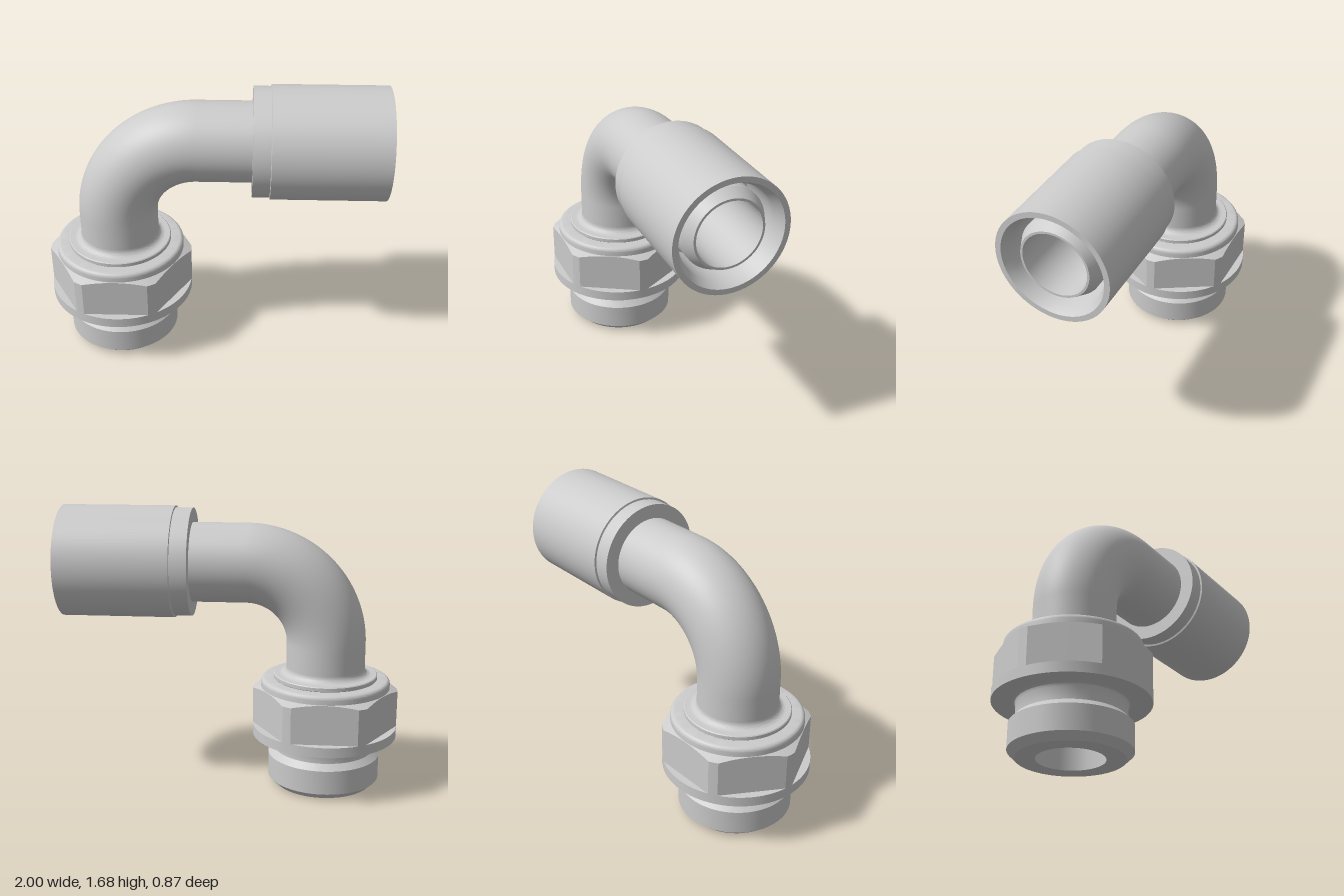
import * as THREE from 'three';
import { toCreasedNormals } from 'three/addons/utils/BufferGeometryUtils.js';

const AXIS_X = -0.565, AXIS_Y = 1.35; // vertical and horizontal axes of the elbow
const BEND = 0.475, BORE = 0.187, PIPE = 0.235;

const material = new THREE.MeshStandardMaterial({ color: 0xcccccc, side: THREE.DoubleSide });

function part(name, geometry) {
  const mesh = new THREE.Mesh(geometry, material);
  mesh.name = name;
  return mesh;
}

// Turned part from [radius, height] pairs
function turned(name, profile) {
  const points = profile.map(([r, h]) => new THREE.Vector2(r, h));
  return part(name, toCreasedNormals(new THREE.LatheGeometry(points, 96), 0.45));
}

// Straight up, quarter bend, straight along +x
class ElbowCurve extends THREE.Curve {
  constructor(yStart, xEnd) {
    super();
    this.yStart = yStart;
    this.rise = AXIS_Y - BEND - yStart;
    this.arc = BEND * Math.PI / 2;
    this.run = xEnd - AXIS_X - BEND;
  }
  getPoint(t, target = new THREE.Vector3()) {
    const s = t * (this.rise + this.arc + this.run);
    if (s < this.rise) return target.set(AXIS_X, this.yStart + s, 0);
    const a = Math.min((s - this.rise) / BEND, Math.PI / 2);
    const extra = Math.max(0, s - this.rise - this.arc);
    return target.set(
      AXIS_X + BEND * (1 - Math.cos(a)) + extra,
      AXIS_Y - BEND + BEND * Math.sin(a), 0);
  }
}

// Hexagon clipped by a cylinder, with a conical chamfer on its top corners
function hexNut() {
  const apothem = 0.39, corner = 0.435, steps = 12;
  const clip = Math.acos(apothem / corner);
  const columns = [];
  for (let side = 0; side < 6; side++) {
    const mid = Math.PI / 2 + side * Math.PI / 3;
    for (let i = 0; i <= steps; i++) {
      const a = -clip + 2 * clip * i / steps;
      columns.push([mid + a, apothem / Math.cos(a)]);
    }
    columns.push([mid + Math.PI / 6, corner]);
  }
  const positions = [], indices = [], n = columns.length;
  for (const [a, r] of columns) {
    const top = 0.588 + (corner - r) * 0.45;
    for (const [radius, y] of [[r, 0.365], [r, top], [0.375, 0.615]]) {
      positions.push(radius * Math.cos(a), y, radius * Math.sin(a));
    }
  }
  for (let i = 0; i < n; i++) {
    for (let k = 0; k < 2; k++) {
      const p = i * 3 + k, q = ((i + 1) % n) * 3 + k;
      indices.push(p, p + 1, q, q, p + 1, q + 1);
    }
  }
  const geometry = new THREE.BufferGeometry();
  geometry.setAttribute('position', new THREE.Float32BufferAttribute(positions, 3));
  geometry.setIndex(indices);
  return part('hexNut', toCreasedNormals(geometry, 0.2));
}

export function createModel() {
  const model = new THREE.Group();
  model.name = 'elbowFitting';

  // Threaded stud with undercut and sealing flange
  const base = new THREE.Group();
  base.name = 'swivelBase';
  base.position.x = AXIS_X;
  base.add(turned('studAndFlange', [
    [BORE, 0], [0.295, 0], [0.337, 0.04], [0.337, 0.185], [0.302, 0.22],
    [0.302, 0.29], [0.308, 0.304], [0.32, 0.31],
    [0.435, 0.31], [0.435, 0.37], [0.36, 0.37],
  ]));
  base.add(hexNut());

  // Rounded shoulder above the hexagon
  const shoulder = [[0.387, 0.595]];
  for (let i = 0; i <= 6; i++) {
    const a = i / 6 * Math.PI / 2;
    shoulder.push([0.362 + 0.025 * Math.cos(a), 0.637 + 0.025 * Math.sin(a)]);
  }
  shoulder.push([0.3, 0.662]);
  base.add(turned('nutShoulder', shoulder));

  // Retaining ring blending into the pipe
  const ring = [[0.3, 0.655], [0.31, 0.665], [0.31, 0.685], [0.305, 0.69]];
  for (let i = 0; i <= 8; i++) {
    const a = i / 8 * Math.PI / 2;
    ring.push([PIPE + 0.04 * (1 - Math.sin(a)), 0.73 - 0.04 * Math.cos(a)]);
  }
  base.add(turned('pipeCollar', ring));
  model.add(base);

  // Bent pipe and its through bore
  model.add(part('bentPipe', new THREE.TubeGeometry(new ElbowCurve(0.66, 0.26), 96, PIPE, 64)));
  model.add(part('bore', new THREE.TubeGeometry(new ElbowCurve(0, 0.97), 96, BORE, 64)));

  // Crimp sleeve with an annular hose socket around the inner nipple
  const sleeve = turned('crimpSleeve', [
    [PIPE - 0.01, 0.23], [0.319, 0.23], [0.319, 0.33], [0.33, 0.333], [0.33, 1],
    [0.298, 1], [0.27, 0.94], [0.27, 0.66],
    [PIPE, 0.66], [PIPE, 0.9], [0.2, 0.97], [BORE, 0.97],
  ]);
  sleeve.rotation.z = -Math.PI / 2;
  sleeve.position.y = AXIS_Y;
  model.add(sleeve);

  return model;
}
